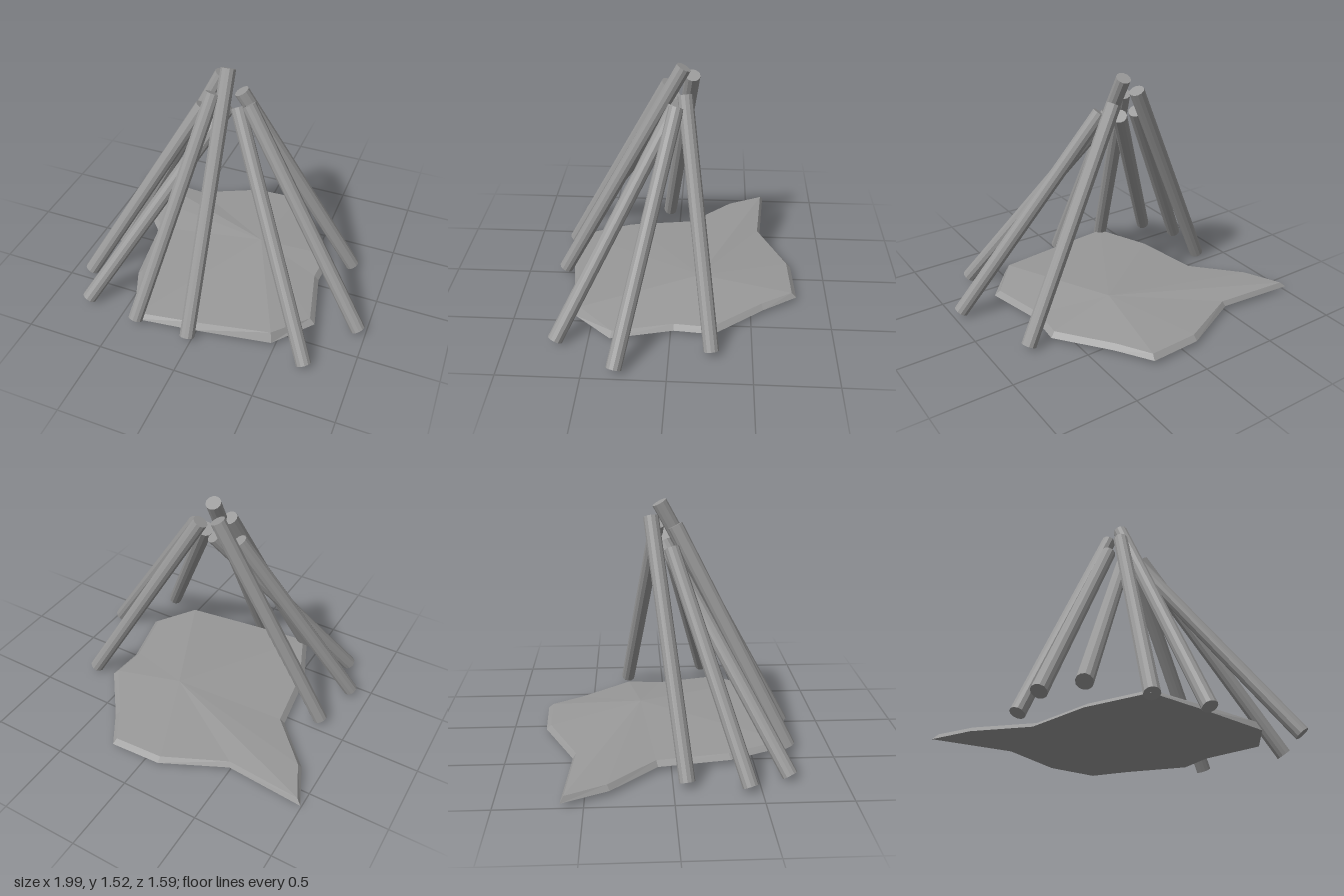
import * as THREE from 'three';

const grey = new THREE.MeshStandardMaterial({ color: 0x999999, flatShading: true });
grey.name = 'plain grey';

// Straight round pole between two end centres
function makePole(foot, top) {
  const a = new THREE.Vector3(...foot), b = new THREE.Vector3(...top);
  const dir = b.clone().sub(a);
  const pole = new THREE.Mesh(new THREE.CylinderGeometry(0.047, 0.047, dir.length(), 12), grey);
  pole.position.copy(a).add(b).multiplyScalar(0.5);
  pole.quaternion.setFromUnitVectors(new THREE.Vector3(0, 1, 0), dir.normalize());
  return pole;
}

// Irregular hide: bottom outline, bevelled rim, and a top rising to a low peak
function makeHide() {
  // each corner: outer x, z, then inner x, z and height of the top edge
  const corners = [
    [-1.0, -0.63, -0.97, -0.61, 0.055],
    [-0.5, -0.59, -0.49, -0.57, 0.055],
    [-0.1, -0.785, -0.1, -0.755, 0.055],
    [0.23, -0.8, 0.22, -0.77, 0.055],
    [0.37, -0.58, 0.34, -0.57, 0.055],
    [0.615, -0.265, 0.585, -0.25, 0.055],
    [0.595, -0.02, 0.565, -0.02, 0.055],
    [0.685, 0.365, 0.65, 0.355, 0.055],
    [0.48, 0.61, 0.465, 0.58, 0.082],
    [-0.01, 0.69, -0.01, 0.66, 0.065],
    [-0.4, 0.74, -0.38, 0.71, 0.055],
    [-0.56, 0.36, -0.53, 0.35, 0.055],
    [-0.625, -0.08, -0.595, -0.09, 0.055],
    [-0.88, -0.36, -0.86, -0.375, 0.055],
  ];
  const base = 0.025, peak = [0.13, 0.11, -0.17], under = [0.13, base, -0.17];
  const points = [];
  const tri = (a, b, c) => points.push(...a, ...b, ...c);
  corners.forEach((c, i) => {
    const n = corners[(i + 1) % corners.length];
    const o = [c[0], base, c[1]], on = [n[0], base, n[1]];
    const t = [c[2], c[4], c[3]], tn = [n[2], n[4], n[3]];
    tri(peak, tn, t);
    tri(under, o, on);
    tri(o, t, on);
    tri(t, tn, on);
  });
  const geometry = new THREE.BufferGeometry();
  geometry.setAttribute('position', new THREE.Float32BufferAttribute(points, 3));
  geometry.computeVertexNormals();
  return new THREE.Mesh(geometry, grey);
}

export function createModel() {
  const model = new THREE.Group();
  model.name = 'tentFrame';

  const hide = makeHide();
  hide.name = 'groundHide';
  model.add(hide);

  // Poles leaning together, as foot and top centres
  const poles = [
    [[0.765, 0.025, -0.255], [0.02, 1.35, -0.06]],
    [[0.95, 0.03, 0.31], [0.085, 1.295, -0.01]],
    [[0.715, 0.025, 0.695], [0.02, 1.27, 0.0]],
    [[-0.025, 0.025, 0.75], [-0.06, 1.495, -0.048]],
    [[-0.39, 0.025, 0.735], [-0.12, 1.365, 0.045]],
    [[-0.755, 0.025, 0.68], [-0.05, 1.25, -0.02]],
    [[-0.87, 0.025, 0.435], [-0.2, 1.245, 0.02]],
    [[-0.805, 0.025, 0.08], [-0.12, 1.42, -0.1]],
  ];
  const frame = new THREE.Group();
  frame.name = 'poles';
  poles.forEach(([foot, top], i) => {
    const pole = makePole(foot, top);
    pole.name = 'pole' + (i + 1);
    frame.add(pole);
  });
  model.add(frame);
  return model;
}
